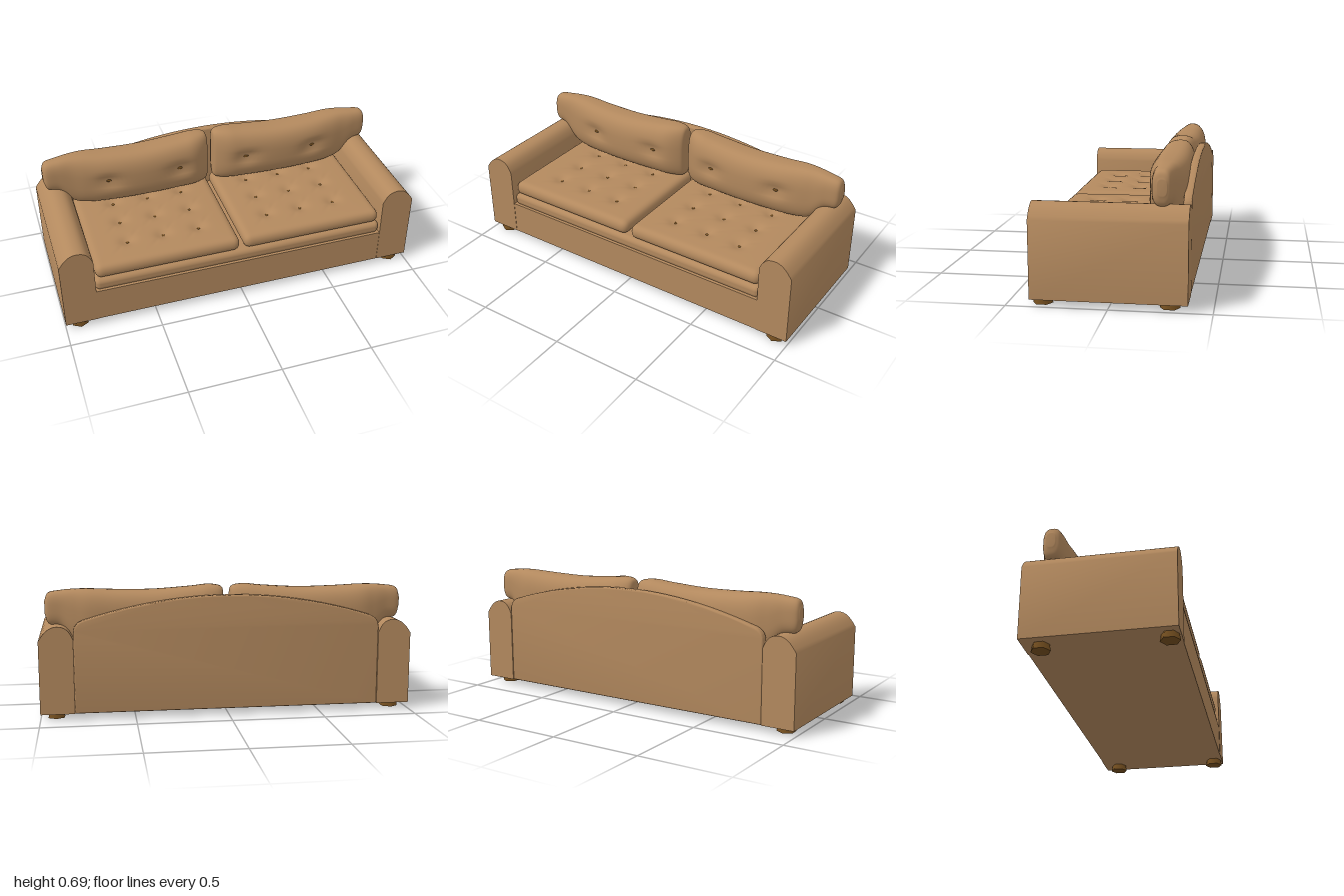
import * as THREE from 'three';
import { mergeVertices, toCreasedNormals } from 'three/addons/utils/BufferGeometryUtils.js';
import { RoundedBoxGeometry } from 'three/addons/geometries/RoundedBoxGeometry.js';

const fabric = new THREE.MeshStandardMaterial({ color: 0xb3895e });
fabric.name = 'tan fabric';
const wood = new THREE.MeshStandardMaterial({ color: 0x765020 });
wood.name = 'brown wood';

const BUTTON_X = [0.2, 0.4, 0.6];
const BUTTON_Z = [-0.17, 0.01, 0.19];
const BACK_BUTTONS = [0.2, 0.61];
const BACK_BUTTON_Y = 0.53;

function part(parent, name, geometry, material, x = 0, y = 0, z = 0) {
  const mesh = new THREE.Mesh(geometry, material);
  mesh.name = name;
  mesh.position.set(x, y, z);
  parent.add(mesh);
  return mesh;
}

// Arm: block with a soft, rolled top, extruded front to back
function armGeometry(s) {
  const shape = new THREE.Shape();
  shape.moveTo(s * 0.82, 0.035);
  shape.lineTo(s * 1.0, 0.035);
  shape.lineTo(s * 1.0, 0.425);
  shape.bezierCurveTo(s * 0.97, 0.475, s * 0.94, 0.5, s * 0.905, 0.5);
  shape.bezierCurveTo(s * 0.86, 0.5, s * 0.84, 0.48, s * 0.82, 0.43);
  shape.closePath();
  const g = new THREE.ExtrudeGeometry(shape, { depth: 0.764, bevelEnabled: false, curveSegments: 8 });
  g.translate(0, 0, -0.382);
  return toCreasedNormals(g, 0.7);
}

// Back panel: arched top with a thin rounded rim
function backGeometry() {
  const shape = new THREE.Shape();
  shape.moveTo(-0.82, 0.035);
  shape.lineTo(0.82, 0.035);
  shape.lineTo(0.82, 0.46);
  shape.quadraticCurveTo(0.82, 0.51, 0.77, 0.528);
  shape.quadraticCurveTo(0.38, 0.65, 0, 0.65);
  shape.quadraticCurveTo(-0.38, 0.65, -0.77, 0.528);
  shape.quadraticCurveTo(-0.82, 0.51, -0.82, 0.46);
  shape.closePath();
  const g = new THREE.ExtrudeGeometry(shape, {
    depth: 0.026, bevelThickness: 0.008, bevelSize: 0.008, bevelOffset: -0.008, bevelSegments: 3, curveSegments: 12,
  });
  g.translate(0, 0, -0.374);
  return toCreasedNormals(g, 0.6);
}

// Seat cushion: rounded slab, slightly puffed, dented at each button
function seatGeometry(s) {
  const w = 0.8, h = 0.08, d = 0.695, r = 0.037;
  const cx = s * 0.412, cz = 0.02;
  let g = new THREE.BoxGeometry(w, h, d, 64, 6, 56);
  g.deleteAttribute('normal');
  g.deleteAttribute('uv');
  g = mergeVertices(g);
  const pos = g.attributes.position;
  const half = new THREE.Vector3(w / 2 - r, h / 2 - r, d / 2 - r);
  const p = new THREE.Vector3(), core = new THREE.Vector3();
  for (let i = 0; i < pos.count; i++) {
    p.fromBufferAttribute(pos, i);
    core.copy(p).clamp(half.clone().negate(), half);
    p.sub(core).setLength(r).add(core);
    const x = p.x + cx, z = p.z + cz;
    if (p.y > 0) {
      const puff = (1 - (2 * p.x / w) ** 4) * (1 - (2 * p.z / d) ** 4);
      let dent = 0;
      for (const bx of BUTTON_X) for (const bz of BUTTON_Z) {
        const dx = x - s * bx, dz = z - bz;
        dent = Math.max(dent, Math.exp(-(dx * dx + dz * dz) / 0.0016));
        // diagonal pull creases
        dent = Math.max(dent, 0.45 * Math.exp(-((dx + dz) ** 2) / 0.0003 - ((dx - dz) ** 2) / 0.012));
      }
      p.y += 0.008 * puff - 0.018 * dent;
    }
    pos.setXYZ(i, x, p.y + 0.329, z);
  }
  g.computeVertexNormals();
  return g;
}

// Back cushion sections: x, bottom, top, rear z, front z
const SECTIONS = [
  [0.015, 0.42, 0.64, -0.27, -0.235],
  [0.03, 0.38, 0.685, -0.32, -0.2],
  [0.1, 0.373, 0.695, -0.345, -0.16],
  [0.2, 0.373, 0.685, -0.352, -0.147],
  [0.4, 0.373, 0.672, -0.352, -0.138],
  [0.6, 0.373, 0.675, -0.35, -0.147],
  [0.73, 0.375, 0.682, -0.346, -0.168],
  [0.81, 0.4, 0.682, -0.328, -0.185],
  [0.88, 0.48, 0.676, -0.308, -0.195],
  [0.945, 0.5, 0.664, -0.295, -0.205],
  [0.965, 0.55, 0.625, -0.275, -0.23],
];
const heights = new THREE.CatmullRomCurve3(SECTIONS.map(c => new THREE.Vector3(c[0], c[1], c[2])), false, 'catmullrom');
const depths = new THREE.CatmullRomCurve3(SECTIONS.map(c => new THREE.Vector3(c[0], c[3], c[4])), false, 'catmullrom');

function backCushionGeometry(s) {
  const rings = 80, sides = 48, verts = [], index = [];
  const round = v => Math.sign(v) * Math.abs(v) ** 0.72;
  for (let i = -1; i <= rings + 1; i++) {
    const t = THREE.MathUtils.clamp(i / rings, 0, 1);
    const hgt = heights.getPoint(t), dep = depths.getPoint(t);
    const k = i < 0 || i > rings ? 0 : 1; // closed ends
    for (let j = 0; j < sides; j++) {
      const a = (j / sides) * Math.PI * 2;
      const y = (hgt.y + hgt.z) / 2 + k * round(Math.cos(a)) * (hgt.z - hgt.y) / 2;
      let z = (dep.y + dep.z) / 2 + k * round(Math.sin(a)) * (dep.z - dep.y) / 2;
      if (k && Math.sin(a) > 0) {
        for (const bx of BACK_BUTTONS) {
          z -= 0.025 * Math.exp(-((hgt.x - bx) ** 2) / 0.005 - ((y - BACK_BUTTON_Y) ** 2) / 0.0012);
        }
      }
      verts.push(s * hgt.x, y, z);
    }
  }
  for (let i = 0; i < rings + 2; i++) for (let j = 0; j < sides; j++) {
    const a = i * sides + j, b = i * sides + (j + 1) % sides, c = a + sides, d = b + sides;
    if (s > 0) index.push(a, b, c, b, d, c);
    else index.push(a, c, b, b, c, d);
  }
  const g = new THREE.BufferGeometry();
  g.setAttribute('position', new THREE.Float32BufferAttribute(verts, 3));
  g.setIndex(index);
  g.computeVertexNormals();
  return g;
}

export function createModel() {
  const sofa = new THREE.Group();
  sofa.name = 'sofa';

  // Frame
  part(sofa, 'base', new THREE.BoxGeometry(1.64, 0.19, 0.73), fabric, 0, 0.13, 0.015);
  part(sofa, 'seatDeck', new RoundedBoxGeometry(1.64, 0.072, 0.715, 4, 0.028), fabric, 0, 0.254, 0.015);
  part(sofa, 'backPanel', backGeometry(), fabric);

  for (const s of [1, -1]) {
    const side = s > 0 ? 'left' : 'right';
    part(sofa, side + 'Arm', armGeometry(s), fabric);
    part(sofa, side + 'SeatCushion', seatGeometry(s), fabric);
    part(sofa, side + 'BackCushion', backCushionGeometry(s), fabric);

    // Buttons
    for (const x of BUTTON_X) for (const z of BUTTON_Z) {
      part(sofa, side + 'SeatButton', new THREE.SphereGeometry(0.009, 10, 6), wood, s * x, 0.358, z).scale.y = 0.5;
    }
    for (const x of BACK_BUTTONS) {
      part(sofa, side + 'BackButton', new THREE.SphereGeometry(0.016, 10, 6), wood, s * x, BACK_BUTTON_Y, -0.172)
        .scale.set(1, 0.6, 0.5);
    }

    // Six-sided feet, wider at the floor
    for (const z of [0.33, -0.29]) {
      part(sofa, side + 'Foot', new THREE.CylinderGeometry(0.043, 0.05, 0.037, 6), wood, s * 0.918, 0.0185, z);
    }
  }
  return sofa;
}
